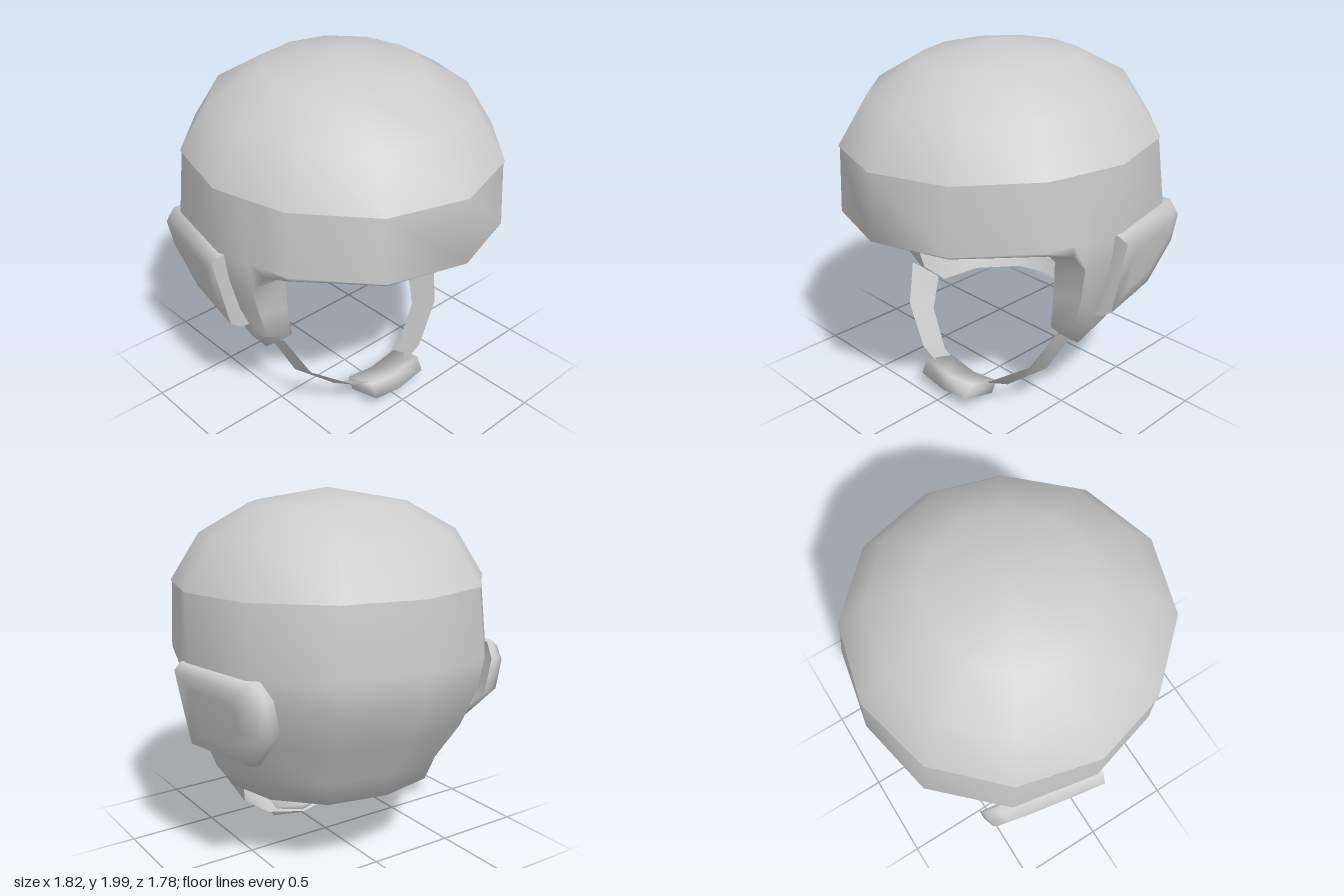
import * as THREE from 'three';
import { mergeVertices, toCreasedNormals } from 'three/addons/utils/BufferGeometryUtils.js';

const grey = new THREE.MeshStandardMaterial({ color: 0xcccccc, side: THREE.DoubleSide });
const lerp = THREE.MathUtils.lerp;
const mirror = cols => cols.map(c => c.map(([x, y, z]) => [-x, y, z])).reverse();

// Skin a list of columns (each a list of points, running downwards / outwards).
// Without a crease angle the surface is smooth all over.
function skin(name, cols, crease, closed = true) {
  const pos = [];
  const tri = (...pts) => {
    const [a, b, c] = pts.map(p => new THREE.Vector3(...p));
    if (b.clone().sub(a).cross(c.clone().sub(a)).length() > 1e-9) pts.forEach(p => pos.push(...p));
  };
  const n = cols.length;
  for (let i = 0; i < (closed ? n : n - 1); i++) {
    const p = cols[i], q = cols[(i + 1) % n];
    for (let j = 0; j < p.length - 1; j++) {
      tri(p[j], p[j + 1], q[j + 1]);
      tri(p[j], q[j + 1], q[j]);
    }
  }
  let g = new THREE.BufferGeometry();
  g.setAttribute('position', new THREE.Float32BufferAttribute(pos, 3));
  if (crease) {
    g = toCreasedNormals(g, crease);
  } else {
    g = mergeVertices(g);
    g.computeVertexNormals();
  }
  const mesh = new THREE.Mesh(g, grey);
  mesh.name = name;
  return mesh;
}

// Shell outline by height: y, half width, front depth, back depth, fullness of the back corners
const OUTLINE = [
  [1.52, 0.845, 0.875, 0.855, 0.015], [1.16, 0.857, 0.9, 0.893, 0.05], [1.0, 0.838, 0.86, 0.86, 0.045],
  [0.8, 0.79, 0.8, 0.78, 0.04], [0.57, 0.7, 0.62, 0.625, 0.03], [0.4, 0.6, 0.55, 0.58, 0.03],
];

// Corner k of the twelve-sided outline (0 = front, 3 = left, 6 = back)
function corner(k, w, f, b, full) {
  const a = k * Math.PI / 6;
  const z = Math.cos(a);
  if (z > 0.01) return [w * Math.sin(a), f * z ** 1.12];
  const s = 1 + full * Math.sin(2 * a) ** 2;
  return [w * s * Math.sin(a), b * s * z];
}

// Point of the outline at height y, u counted in corners
function ring(u, y) {
  let i = 0;
  while (i < OUTLINE.length - 2 && y < OUTLINE[i + 1][0]) i++;
  const A = OUTLINE[i], B = OUTLINE[i + 1];
  const t = THREE.MathUtils.clamp((y - A[0]) / (B[0] - A[0]), 0, 1);
  const dims = [1, 2, 3, 4].map(k => lerp(A[k], B[k], t));
  const k = Math.floor(u);
  const p = corner(k, ...dims), q = corner(k + 1, ...dims);
  return [lerp(p[0], q[0], u - k), lerp(p[1], q[1], u - k)];
}

function makeDome() {
  const rings = [[2.0, 0], [1.925, 0.5], [1.77, 0.822], [1.517, 1.01], [1.517, 0.98]];
  const cols = [];
  for (let k = 0; k < 12; k++) {
    cols.push(rings.map(([y, s]) => {
      const [x, z] = ring(k, 1.52);
      return [x * s, y - 0.03 * z * s, z * s];
    }));
  }
  return skin('dome', cols, 0.95);
}

// Outer shell with its rolled lower lip, and the lining that starts at the lip
function makeShell() {
  // u, outer edge height, lip scale in x and z, lip height, inner lip scale
  const edge = [
    [0, 1.13, 0.8, 0.8, 1.06, 1], [1, 1.13, 0.8, 0.8, 1.06, 1], [2, 1.13, 0.8, 0.8, 1.06, 1],
    [2.35, 1.09, 0.78, 1, 1.045, 1], [2.54, 0.99, 0.76, 1.08, 0.98, 1],
    [2.56, 0.79, 0.77, 1.08, 0.77, 1], [2.58, 0.6, 0.81, 1.15, 0.55, 0.96],
    [3, 0.56, 0.86, 1, 0.425, 0.84], [4, 0.57, 0.86, 0.9, 0.43, 0.86],
    [5, 0.57, 0.9, 0.93, 0.435, 0.87], [6, 0.57, 0.9, 0.94, 0.44, 0.87],
  ];
  const outer = [], inner = [];
  for (const [u, yo, sx, sz, yl, lip] of edge) {
    const [rx, rz] = ring(u, 1.52);
    const col = [[rx, 1.517 - 0.03 * rz, rz]];
    for (const h of [lerp(1.13, 1.18, u / 6), 1.0, 0.79, 0.55]) {
      const y = Math.max(h, yo);
      const [x, z] = ring(u, y);
      col.push([x, y, z]);
    }
    const [ex, ez] = ring(u, yo);
    const rim = [ex * sx * lip, yl, ez * sz * lip];
    outer.push([...col, [ex * sx, yl, ez * sz], rim]);
    // lining, closing at the crown
    inner.push([rim, ...[[lerp(yl, 1.2, 0.5), 0.82], [1.2, 0.82], [1.5, 0.76], [1.72, 0.5], [1.82, 0]].map(([y, s]) => {
      const [x, z] = ring(u, y);
      return [x * s, y, z * s];
    })]);
  }
  const whole = half => [...half, ...mirror(half.slice(1, -1))];
  return [skin('shell', whole(outer)), skin('lining', whole(inner))];
}

// Padded ear cover with a bevelled rim, on the left side
function earCoverColumns() {
  const outline = [[0.035, 1.155], [0.035, 0.67], [-0.39, 0.685], [-0.6, 0.9], [-0.6, 1.09], [-0.53, 1.165]];
  const cz = -0.26, cy = 0.92;
  // inset in z and y, outward offset
  const rows = [[0, 0, 0.01], [0.55, 0.5, 0.008], [0.94, 0.85, 0], [1, 1, -0.055], [1, 1, -0.1]];
  return outline.map(([z, y]) => rows.map(([sz, sy, d]) => {
    const pz = lerp(cz, z, sz), py = lerp(cy, y, sy);
    return [0.905 + 0.18 * pz - 0.2 * (1.1 - py) + d, py, pz];
  }));
}

// Flat ribbon hanging from both cheeks
function makeStrap() {
  const path = [[0.57, 0.495, 0.08], [0.49, 0.305, 0.19], [0.27, 0.145, 0.285], [0, 0.065, 0.32]];
  const tilt = [[0.025, 0.06], [0.012, 0.045], [0, 0.045], [0, 0.045]];
  const half = path.map(([x, y, z], i) => {
    const [dx, dy] = tilt[i];
    return [[x + dx, y + dy, z + 0.083], [x - dx, y - dy, z - 0.083]];
  });
  return skin('chinStrap', [...half, ...mirror(half.slice(0, -1))], 0.9, false);
}

// Bent block around the lowest part of the strap
function makeBuckle() {
  const section = [[0.42, 0.14], [0.46, 0.06], [0.26, 0.006], [0.225, 0.075]];
  const slices = [[-0.175, 0.03], [0.01, 0], [0.2, 0.03]];
  const cols = slices.map(([x, lift]) => [...section, section[0]].map(([z, y]) => [x, y + lift, z]));
  const cap = c => c.map(([x]) => [x, 0.1, 0.34]);
  return skin('buckle', [cap(cols[0]), ...cols, cap(cols[2])], 1.8, false);
}

export function createModel() {
  const group = new THREE.Group();
  group.name = 'helmet';
  const cover = earCoverColumns();
  // the cap leans very slightly to one side
  const cap = new THREE.Group();
  cap.name = 'cap';
  cap.rotation.z = 0.011;
  cap.position.x = 0.011;
  cap.add(
    makeDome(), ...makeShell(),
    skin('leftEarCover', cover, 1.25), skin('rightEarCover', mirror(cover), 1.25),
  );
  group.add(cap, makeStrap(), makeBuckle());
  return group;
}
